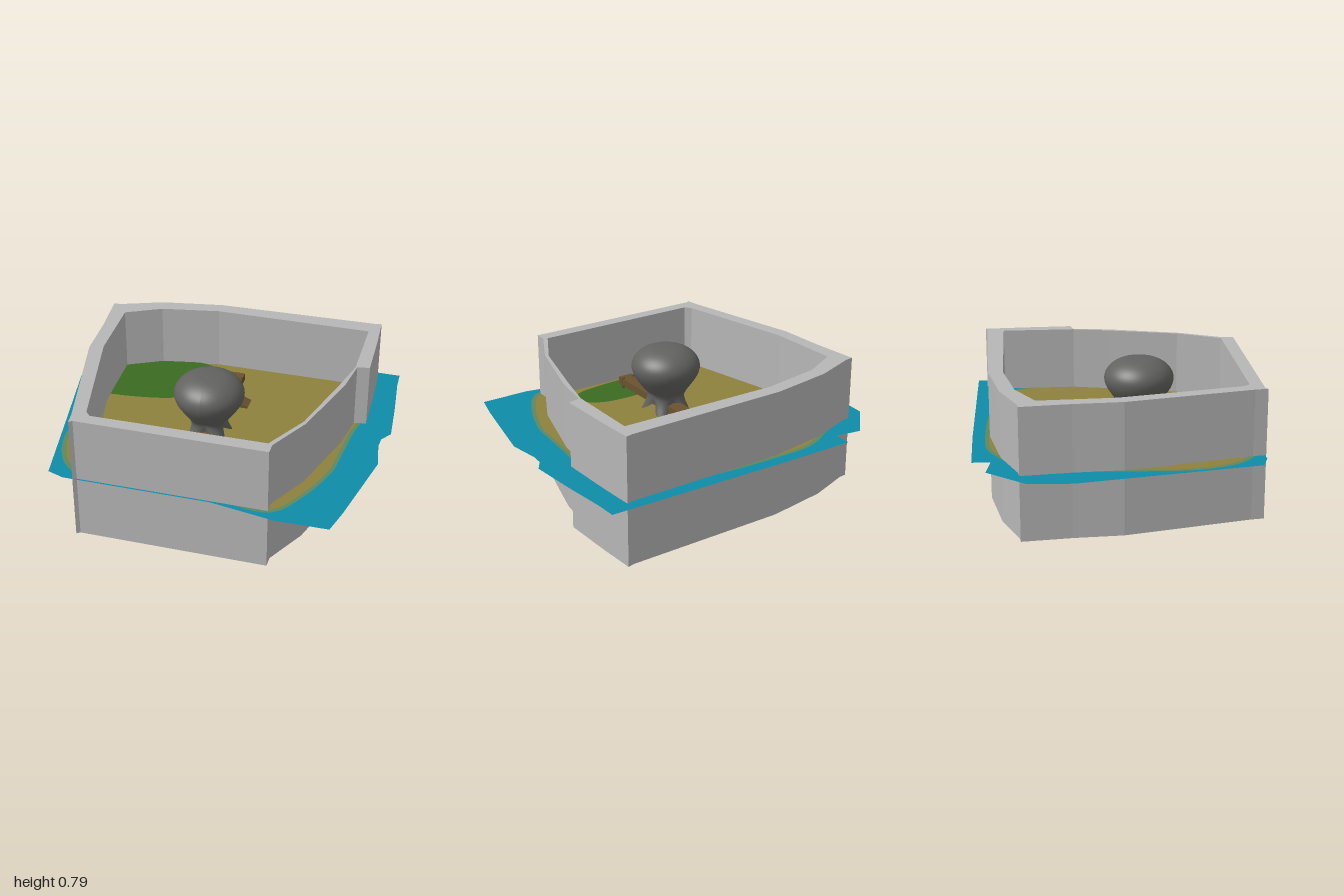
import * as THREE from 'three';

const mat = (name, color, side = THREE.FrontSide) => {
  const m = new THREE.MeshStandardMaterial({ color, side });
  m.name = name;
  return m;
};

export function createModel() {
  const group = new THREE.Group();
  const stone = mat('wall grey', 0xb6b6b6);
  const rock = mat('boulder grey', 0x626260, THREE.DoubleSide);
  const wood = mat('wood brown', 0x69522f);
  const water = mat('water blue', 0x0e8ca8, THREE.DoubleSide);
  const shore = mat('shore olive', 0x5f8660, THREE.DoubleSide);
  const sand = mat('sand', 0x8d813c, THREE.DoubleSide);
  const grass = mat('grass green', 0x3a6a20, THREE.DoubleSide);

  const add = (name, geometry, material, parent = group) => {
    const mesh = new THREE.Mesh(geometry, material);
    mesh.name = name;
    parent.add(mesh);
    return mesh;
  };
  // Plan outlines are [x, z] pairs, laid flat with z kept
  const vecs = (pts) => pts.map(([x, z]) => new THREE.Vector2(x, -z));
  const smooth = (pts, scale = 1) =>
    new THREE.SplineCurve([...vecs(pts), vecs(pts)[0]]).getPoints(90).slice(0, -1)
      .map((p) => p.multiplyScalar(scale));
  const outline = (pts, hole) => {
    const s = new THREE.Shape(pts);
    if (hole) s.holes.push(new THREE.Path(hole));
    return s;
  };
  const slab = (shape, depth) =>
    new THREE.ExtrudeGeometry(shape, { depth, bevelEnabled: false }).rotateX(-Math.PI / 2);
  const sheet = (shape, y) =>
    new THREE.ShapeGeometry(shape).rotateX(-Math.PI / 2).translate(0, y, 0);

  // Enclosure wall and closed base
  const outer = vecs([
    [-0.64, 0.785], [-0.62, 0.77], [0.485, 0.77], [0.485, 0.7], [0.61, 0.45], [0.735, 0],
    [0.765, -0.22], [0.837, -0.235], [0.825, -0.55], [0.81, -0.78], [0.77, -0.77], [-0.2, -0.75],
    [-0.57, -0.685], [-0.82, -0.59], [-0.865, -0.585], [-0.835, -0.3], [-0.82, -0.02], [-0.65, 0.71],
  ]);
  const inner = vecs([
    [-0.55, 0.695], [0.46, 0.69], [0.595, 0.43], [0.705, 0], [0.755, -0.22], [0.75, -0.665],
    [-0.2, -0.665], [-0.55, -0.6], [-0.76, -0.49], [-0.74, -0.05], [-0.58, 0.66],
  ]);
  add('wall', slab(outline(outer, inner), 0.765), stone);
  add('base', slab(outline(inner), 0.02), stone);

  // Ground sheet: water, shore ring, sand and two lawns
  const sea = vecs([
    [-0.64, -0.845], [-0.2, -0.85], [0.94, -0.84], [0.945, -0.72], [0.975, -0.45], [1, -0.16],
    [0.955, -0.09], [0.95, -0.02], [0.98, 0.17], [0.88, 0.68], [0.84, 0.84], [0.54, 0.845],
    [0.16, 0.78], [-0.7, 0.78], [-0.8, 0.745], [-0.9, 0.22], [-1, -0.3], [-0.985, -0.55],
    [-0.8, -0.765], [-0.64, -0.74],
  ]);
  const sandPts = [
    [-0.62, 0.71], [-0.2, 0.74], [0.2, 0.74], [0.48, 0.76], [0.62, 0.58], [0.72, 0.32], [0.74, 0.15],
    [0.76, -0.1], [0.79, -0.3], [0.73, -0.52], [0.6, -0.68], [0.2, -0.74], [-0.2, -0.755],
    [-0.42, -0.74], [-0.6, -0.65], [-0.78, -0.53], [-0.8, -0.2], [-0.82, 0.1], [-0.82, 0.38], [-0.74, 0.6],
  ];
  add('water', sheet(outline(sea, smooth(sandPts, 1.03)), 0.38), water);
  add('shore', sheet(outline(smooth(sandPts, 1.03), smooth(sandPts)), 0.38), shore);
  add('sand', sheet(outline(smooth(sandPts)), 0.38), sand);
  const lawns = [
    [[-0.77, -0.5], [-0.55, -0.61], [-0.3, -0.64], [-0.15, -0.57], [-0.07, -0.44], [-0.06, -0.25],
      [-0.25, -0.22], [-0.45, -0.16], [-0.7, -0.13], [-0.76, -0.17]],
    [[-0.48, 0.53], [-0.4, 0.43], [-0.15, 0.405], [0.18, 0.405], [0.32, 0.47], [0.34, 0.55],
      [0.27, 0.63], [0, 0.665], [-0.2, 0.66], [-0.45, 0.625]],
  ];
  for (const pts of lawns) add('lawn', sheet(outline(smooth(pts)), 0.387), grass);

  // Round boulder narrowing to a neck, then parting into four feet
  const profile = [
    [0.15, 0.378], [0.135, 0.41], [0.12, 0.445], [0.112, 0.485], [0.13, 0.525], [0.165, 0.575],
    [0.193, 0.62], [0.205, 0.665], [0.196, 0.705], [0.17, 0.74], [0.13, 0.767], [0.08, 0.783], [0, 0.787],
  ];
  const curve = new THREE.SplineCurve(profile.map(([r, y]) => new THREE.Vector2(r, y)));
  const body = curve.getPoints(32);
  body[body.length - 1].x = 0;
  const boulder = new THREE.LatheGeometry(body, 48);
  const p = boulder.attributes.position;
  for (let i = 0; i < p.count; i++) {
    const x = p.getX(i), y = p.getY(i), z = p.getZ(i);
    const t = Math.max(0, (0.53 - y) / 0.152);
    const gap = 0.5 + 0.5 * Math.cos(4 * Math.atan2(z, x));
    const k = 1 - 0.5 * t * gap;
    p.setXYZ(i, x * k, y + 0.06 * t * gap, z * k);
  }
  boulder.computeVertexNormals();
  add('boulder', boulder, rock).position.set(-0.03, 0, 0.13);

  // Timber beam with end pegs and two sloping props
  const timber = new THREE.Group();
  timber.name = 'timber';
  group.add(timber);
  add('beam', new THREE.BoxGeometry(0.09, 0.045, 1.08), wood, timber).position.set(-0.025, 0.425, 0.05);
  for (const z of [-0.43, 0.55]) {
    for (const x of [-0.063, 0.013]) {
      add('peg', new THREE.CylinderGeometry(0.011, 0.011, 0.07, 8), wood, timber).position.set(x, 0.42, z);
    }
  }
  for (const [side, z] of [[1, -0.245], [-1, 0.46]]) {
    const prop = add('prop', new THREE.BoxGeometry(0.13, 0.035, 0.088), wood, timber);
    prop.position.set(-0.025 + side * 0.073, 0.398, z);
    prop.rotation.z = -side * 0.4;
  }
  return group;
}
